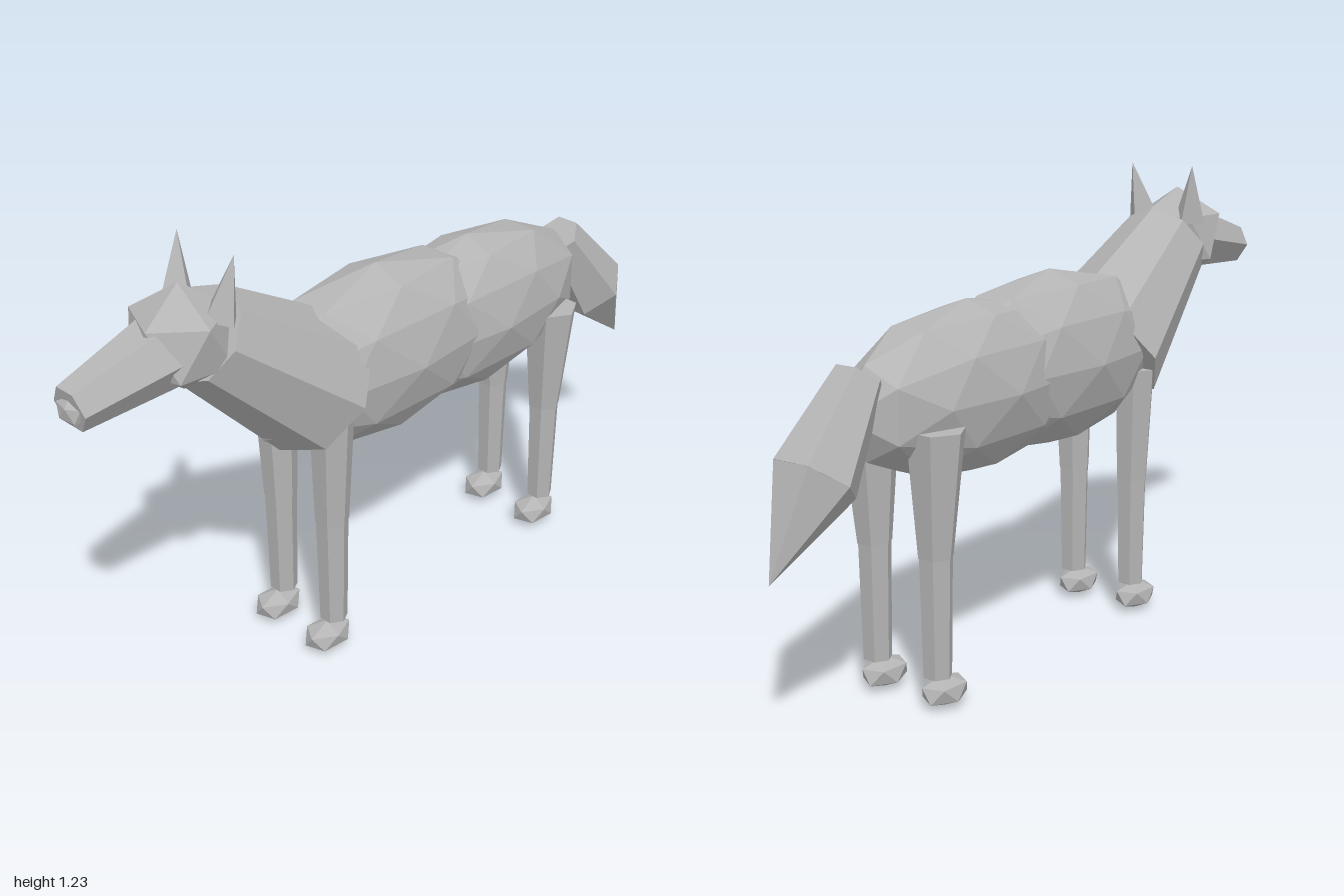
import * as THREE from 'three';

export function createModel() {
  const model = new THREE.Group();
  model.name = 'animal';
  const grey = new THREE.MeshStandardMaterial({ color: 0xb4b4b4, flatShading: true });
  grey.name = 'coatGrey';

  const add = (name, geometry) => {
    const mesh = new THREE.Mesh(geometry, grey);
    mesh.name = name;
    model.add(mesh);
    return mesh;
  };

  // Tapered prism running from point a to point b
  const UP = new THREE.Vector3(0, 1, 0);
  const prism = (name, a, b, ra, rb, sides, start = 0) => {
    const from = new THREE.Vector3(...a), to = new THREE.Vector3(...b);
    const axis = to.clone().sub(from);
    const mesh = add(name, new THREE.CylinderGeometry(rb, ra, axis.length(), sides, 1, false, start));
    mesh.position.copy(from).add(to).multiplyScalar(0.5);
    mesh.quaternion.setFromUnitVectors(UP, axis.normalize());
    return mesh;
  };
  const HEX = Math.PI / 6; // puts hexagon corners on the left and right

  // Faceted ellipsoid
  const blob = (name, centre, radii, detail) => {
    const g = new THREE.IcosahedronGeometry(1, detail);
    if (detail === 0) { // stand it on a corner
      g.rotateX(-Math.atan2(0.8507, 0.5257));
      g.rotateY(THREE.MathUtils.degToRad(13));
    }
    g.scale(...radii);
    g.translate(...centre);
    return add(name, g);
  };

  // Body
  blob('chest', [0, 0.765, 0.04], [0.18, 0.235, 0.46], 1);
  blob('hindquarters', [0, 0.75, -0.3], [0.17, 0.22, 0.44], 1);

  // Neck and head
  prism('neck', [0, 0.745, 0.265], [0, 1.01, 0.61], 0.19, 0.125, 8);
  blob('head', [0, 1.022, 0.665], [0.137, 0.137, 0.137], 0);
  prism('snout', [0, 1.015, 0.68], [0, 0.96, 0.98], 0.098, 0.058, 6, HEX);
  blob('nose', [0, 0.955, 0.978], [0.047, 0.036, 0.024], 0);

  for (const [side, s] of [['left', 1], ['right', -1]]) {
    prism(side + 'Ear', [s * 0.078, 1.075, 0.61], [s * 0.1, 1.23, 0.58], 0.048, 0, 4);

    // Legs in two sections above a faceted foot
    for (const [end, z, topRadius, kneeRadius] of [['Front', 0.297, 0.058, 0.045], ['Rear', -0.547, 0.075, 0.045]]) {
      const knee = [s * 0.098, 0.39, z];
      prism(side + end + 'UpperLeg', knee, [s * 0.104, 0.705, z], kneeRadius, topRadius, 6, HEX);
      prism(side + end + 'LowerLeg', [s * 0.098, 0.085, z], knee, 0.037, kneeRadius - 0.002, 6, HEX);
      blob(side + end + 'Foot', [s * 0.098, 0.041, z + 0.025], [0.054, 0.041, 0.076], 0);
    }
  }

  // Tail widens from its root, then closes to a point
  const tailMiddle = [0, 0.635, -0.845];
  prism('tailRoot', tailMiddle, [0, 0.843, -0.69], 0.107, 0.063, 6, HEX);
  prism('tailTip', [0, 0.425, -1], tailMiddle, 0, 0.107, 6, HEX);

  return model;
}
